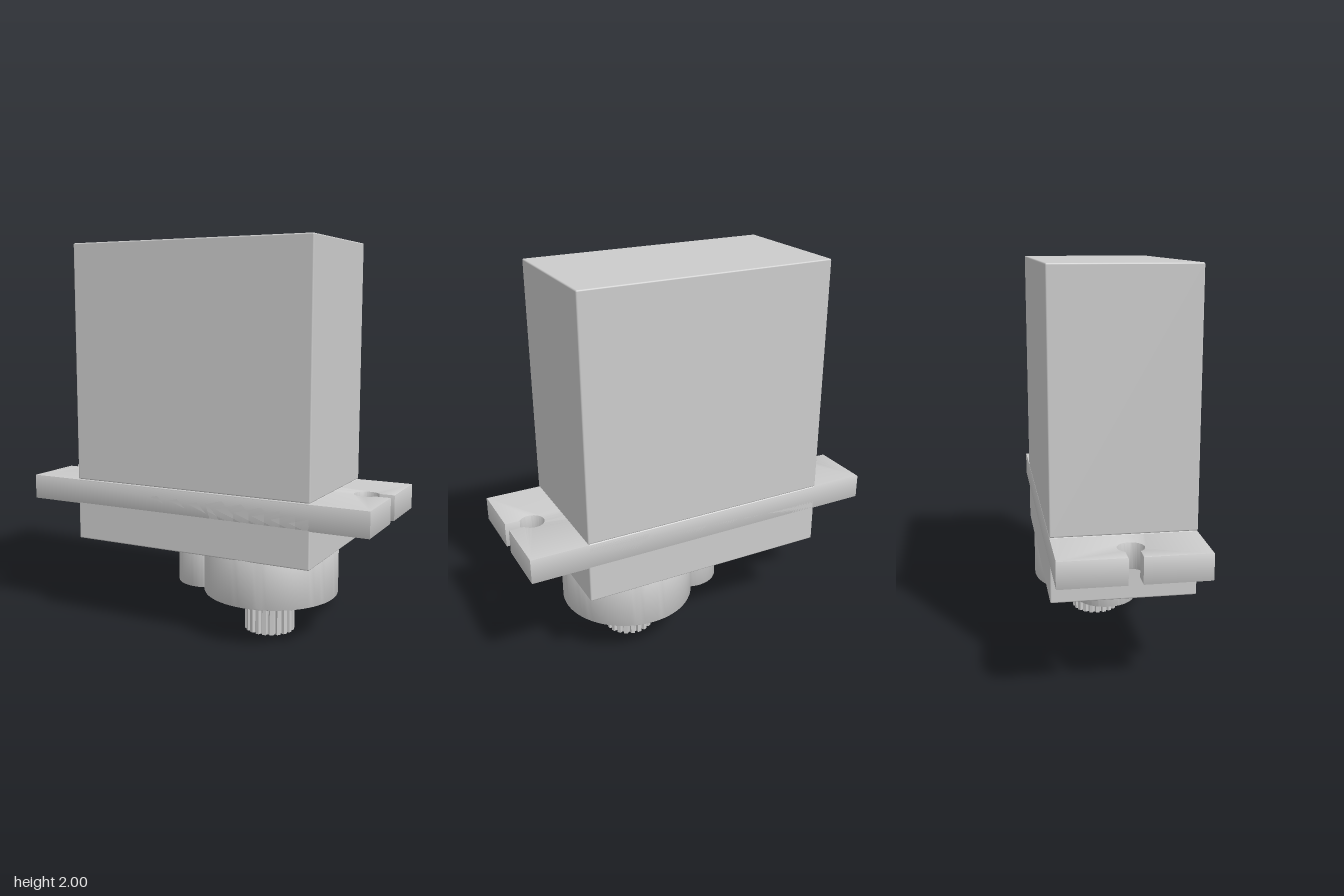
import * as THREE from 'three';
import { RoundedBoxGeometry } from 'three/addons/geometries/RoundedBoxGeometry.js';
import { toCreasedNormals } from 'three/addons/utils/BufferGeometryUtils.js';

const HALF_X = 0.66, HALF_Z = 0.35;

export function createModel() {
  const group = new THREE.Group();
  const material = new THREE.MeshStandardMaterial({ color: 0xcccccc });

  const add = (name, geometry, x = 0, y = 0, z = 0) => {
    const mesh = new THREE.Mesh(geometry, material);
    mesh.name = name;
    mesh.position.set(x, y, z);
    group.add(mesh);
    return mesh;
  };

  // Box with softened edges between two heights
  const block = (name, y0, y1) =>
    add(name, new RoundedBoxGeometry(HALF_X * 2, y1 - y0, HALF_Z * 2, 2, 0.007), 0, (y0 + y1) / 2, 0);

  // Extrude an x/z outline between two heights, with a tiny edge bevel
  const slab = (name, shape, y0, y1, bevel = 0.005) => {
    const g = new THREE.ExtrudeGeometry(shape, {
      depth: y1 - y0 - 2 * bevel, curveSegments: 40, bevelEnabled: bevel > 0,
      bevelThickness: bevel, bevelSize: bevel, bevelOffset: -bevel, bevelSegments: 2,
    });
    g.rotateX(Math.PI / 2);
    return add(name, toCreasedNormals(g, 0.5), 0, y1 - bevel, 0);
  };

  // Main case and the gear case below it
  block('mainCase', 0.77, 2);
  block('gearCase', 0.448, 0.77);

  // Mounting flange with a keyhole notch at each end
  const holeX = 0.82, holeR = 0.062, slot = 0.033, end = 0.95;
  const a = Math.asin(slot / holeR);
  const flange = new THREE.Shape();
  flange.moveTo(-end, -HALF_Z);
  flange.lineTo(end, -HALF_Z);
  flange.lineTo(end, -slot);
  flange.absarc(holeX, 0, holeR, -a, a, true);
  flange.lineTo(end, slot);
  flange.lineTo(end, HALF_Z);
  flange.lineTo(-end, HALF_Z);
  flange.lineTo(-end, slot);
  flange.absarc(-holeX, 0, holeR, Math.PI - a, a - Math.PI, true);
  flange.lineTo(-end, -slot);
  flange.closePath();
  slab('mountingFlange', flange, 0.637, 0.768);

  // Gear cover: large round housing merged with a small one
  const bigX = 0.31, bigR = 0.35, smallX = -0.06, smallR = 0.16;
  const d = bigX - smallX;
  const toMeet = (bigR * bigR - smallR * smallR + d * d) / (2 * d);
  const meetZ = Math.sqrt(bigR * bigR - toMeet * toMeet);
  const alpha = Math.PI - Math.atan2(meetZ, toMeet);
  const beta = Math.atan2(meetZ, d - toMeet);
  const cover = new THREE.Shape();
  cover.absarc(bigX, 0, bigR, -alpha, alpha, false);
  cover.absarc(smallX, 0, smallR, beta, 2 * Math.PI - beta, false);
  slab('gearCover', cover, 0.21, 0.455);

  // Flared collar above the spline
  const collar = new THREE.LatheGeometry(
    [[0, 0.178], [0.125, 0.178], [0.13, 0.185], [0.138, 0.2], [0.141, 0.215], [0, 0.215]]
      .map(([r, y]) => new THREE.Vector2(r, y)), 48);
  add('shaftCollar', toCreasedNormals(collar, 0.6), 0.305, 0, 0);

  // Toothed output shaft
  const teeth = 21, outer = 0.131, inner = 0.116;
  const points = [];
  for (let i = 0; i < teeth; i++) {
    for (const [t, r] of [[0, inner], [0.2, inner], [0.35, outer], [0.85, outer]]) {
      const angle = ((i + t) / teeth) * Math.PI * 2;
      points.push(new THREE.Vector2(Math.cos(angle) * r, Math.sin(angle) * r));
    }
  }
  const shaft = slab('splineShaft', new THREE.Shape(points), 0, 0.185, 0);
  shaft.position.x = 0.305;

  return group;
}
